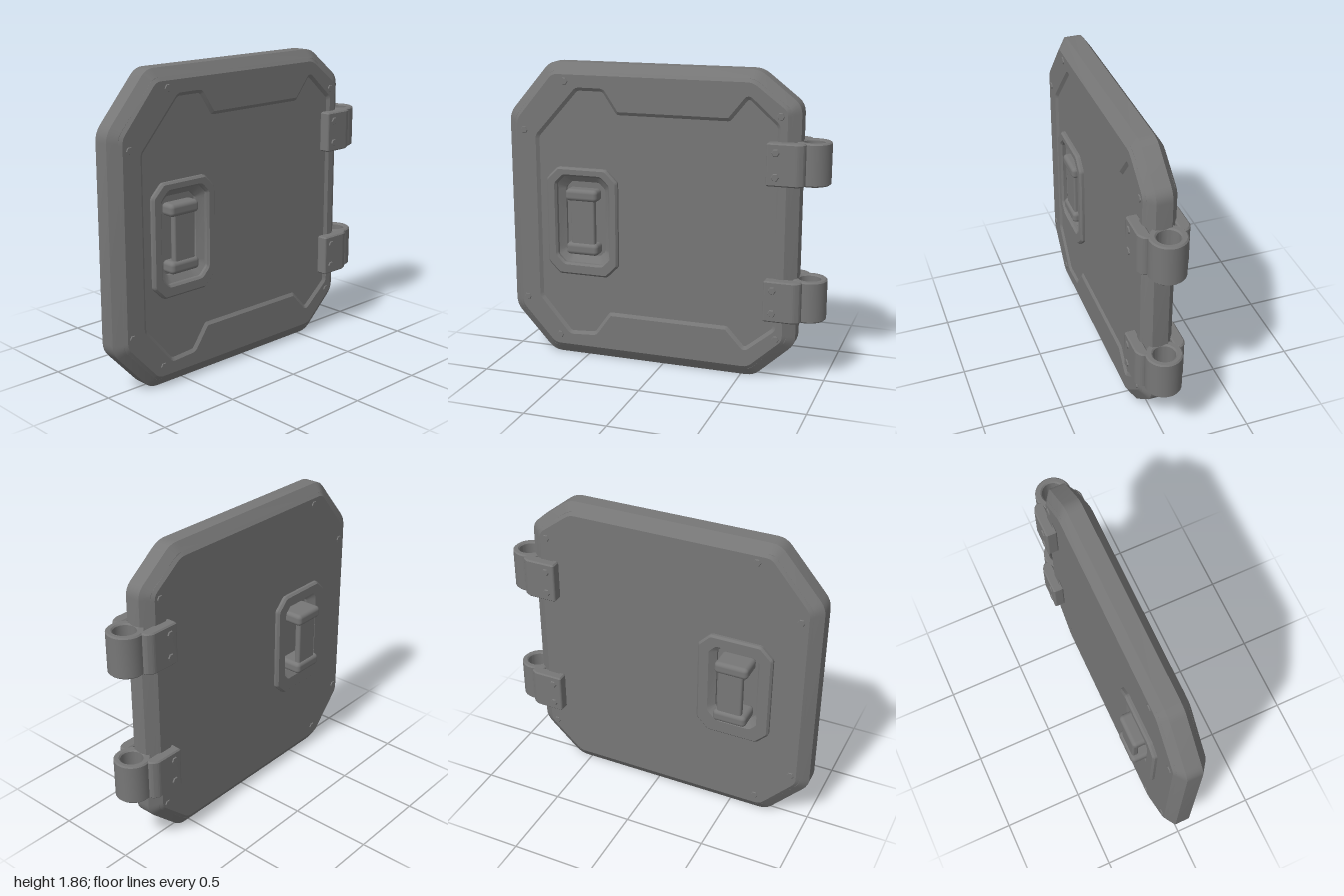
import * as THREE from 'three';
import { toCreasedNormals } from 'three/addons/utils/BufferGeometryUtils.js';
import { RoundedBoxGeometry } from 'three/addons/geometries/RoundedBoxGeometry.js';

const CX = 0.01; // middle of the door's thickness
const metal = new THREE.MeshStandardMaterial({ color: 0x777777 });
metal.name = 'dark grey metal';

// closed outline with slightly rounded corners
function outline(pts, r) {
  const shape = new THREE.Shape();
  const v = pts.map(p => new THREE.Vector2(p[0], p[1]));
  v.forEach((p, i) => {
    const a = v[(i + v.length - 1) % v.length], b = v[(i + 1) % v.length];
    const p0 = p.clone().add(a.clone().sub(p).setLength(r));
    const p1 = p.clone().add(b.clone().sub(p).setLength(r));
    if (i) shape.lineTo(p0.x, p0.y); else shape.moveTo(p0.x, p0.y);
    shape.quadraticCurveTo(p.x, p.y, p1.x, p1.y);
  });
  shape.closePath();
  return shape;
}

function add(parent, name, geo) {
  const mesh = new THREE.Mesh(geo, metal);
  mesh.name = name;
  parent.add(mesh);
  return mesh;
}

// bevelled plate in the door plane; points are (-z, y), side is +1 or -1 along x
function slab(parent, name, pts, holes, o) {
  const side = o.side || 1;
  const flip = list => list.map(p => [p[0] * side, p[1]]);
  const shape = outline(flip(pts), o.round);
  shape.holes = holes.map(h => outline(flip(h), o.holeRound || 0.015));
  const geo = new THREE.ExtrudeGeometry(shape, {
    depth: o.front - o.back - 2 * o.thick, bevelThickness: o.thick, bevelSize: o.bevel,
    bevelOffset: -o.bevel, bevelSegments: 1, curveSegments: 4
  });
  geo.translate(0, 0, o.back + o.thick);
  const mesh = add(parent, name, toCreasedNormals(geo, 0.5));
  mesh.rotation.y = side * Math.PI / 2;
  mesh.position.x = CX;
}

// door silhouette, moved inward by i
function doorOutline(i) {
  const k = i * 0.414;
  return [
    [-1 + i, 0.28 + k], [-0.74 + k, i], [0.58 + k * -1, i], [0.83 - i, 0.23 + k],
    [0.83 - i, 1.66 - k], [0.58 - k, 1.855 - i], [-0.72 + k, 1.855 - i], [-1 + i, 1.53 - k]
  ];
}

// rectangle with cut corners
function cutRect(x0, x1, y0, y1, c) {
  return [[x0 + c, y0], [x1 - c, y0], [x1, y0 + c], [x1, y1 - c],
    [x1 - c, y1], [x0 + c, y1], [x0, y1 - c], [x0, y0 + c]];
}

const panel = [
  [-0.79, 0.38], [-0.6, 0.16], [-0.44, 0.17], [-0.34, 0.31], [0.42, 0.31], [0.53, 0.19], [0.70, 0.33],
  [0.70, 1.54], [0.53, 1.69], [0.42, 1.555], [-0.28, 1.555], [-0.37, 1.69], [-0.53, 1.69], [-0.79, 1.40]
];
const screws = [[-0.61, 1.745], [-0.885, 1.435], [-0.895, 0.36], [-0.675, 0.13], [0.72, 0.265], [0.72, 1.6]];

function screw(parent, x, y, z) {
  const geo = new THREE.CylinderGeometry(0.02, 0.026, 0.012, 6);
  geo.rotateZ(-Math.sign(x - CX) * Math.PI / 2);
  add(parent, 'screw', toCreasedNormals(geo, 0.3)).position.set(x, y, z);
}

function handle(parent, side, top) {
  const g = new THREE.Group();
  g.name = side > 0 ? 'innerHandle' : 'outerHandle';
  const h = top - 0.02;
  for (const y of [0.71, 1.05]) {
    add(g, 'handleEnd', new RoundedBoxGeometry(h, 0.075, 0.21, 3, 0.025))
      .position.set(CX + side * (top - h / 2), y, 0.51);
  }
  add(g, 'handleGrip', new RoundedBoxGeometry(0.04, 0.36, 0.155, 2, 0.012))
    .position.set(CX + side * (top - 0.035), 0.88, 0.505);
  parent.add(g);
}

// upright extrusion of a plan outline (x, -z)
function upright(parent, name, shape, height) {
  const geo = new THREE.ExtrudeGeometry(shape, {
    depth: height - 0.016, bevelThickness: 0.008, bevelSize: 0.008, bevelOffset: -0.008,
    bevelSegments: 1, curveSegments: 20
  });
  geo.rotateX(-Math.PI / 2);
  geo.translate(0, 0.008 - height / 2, 0);
  add(parent, name, toCreasedNormals(geo, 0.6));
}

function hinge(parent, y, height) {
  const g = new THREE.Group();
  g.name = 'hinge';
  g.position.set(CX, y, 0);
  // knuckle ring
  const ring = new THREE.Shape().absarc(0, 0.893, 0.107, 0, Math.PI * 2);
  ring.holes.push(new THREE.Path().absarc(0, 0.897, 0.066, 0, Math.PI * 2));
  upright(g, 'hingeKnuckle', ring, height);
  // straps gripping both faces of the door
  for (const s of [1, -1]) {
    const strap = [[0.08, 0.65], [0.15, 0.65], [0.15, 0.83], [0.13, 0.865], [0.1, 0.875], [0.08, 0.86]];
    upright(g, 'hingeStrap', outline(strap.map(p => [p[0] * s, p[1]]), 0.012), height);
    for (const dy of [-0.07, 0.07]) {
      const geo = new THREE.CylinderGeometry(0.02, 0.026, 0.01, 6);
      geo.rotateZ(-s * Math.PI / 2);
      add(g, 'hingeScrew', toCreasedNormals(geo, 0.3)).position.set(s * 0.152, dy, -0.705);
    }
  }
  parent.add(g);
}

export function createModel() {
  const model = new THREE.Group();
  model.name = 'hatchDoor';

  // core with sloped recess for the handles
  slab(model, 'doorCore', doorOutline(0), [cutRect(-0.635, -0.375, 0.655, 1.125, 0.04)],
    { back: -0.083, front: 0.083, thick: 0.036, bevel: 0.05, round: 0.05 });
  slab(model, 'recessFloor', cutRect(-0.66, -0.35, 0.63, 1.15, 0.03), [],
    { back: -0.03, front: 0.03, thick: 0.002, bevel: 0.002, round: 0.01 });

  for (const side of [1, -1]) {
    // raised border around the panel
    slab(model, 'doorBorder', doorOutline(0.05), [panel],
      { side, back: 0.067, front: 0.097, thick: 0.014, bevel: 0.02, round: 0.04 });
    // raised frame around the handle recess
    slab(model, 'handleFrame', cutRect(-0.74, -0.275, 0.54, 1.22, 0.075),
      [cutRect(-0.675, -0.335, 0.615, 1.165, 0.05)],
      { side, back: 0.065, front: 0.111, thick: 0.012, bevel: 0.012, round: 0.015 });
    for (const [u, y] of screws) screw(model, CX + side * 0.097, y, -u);
  }

  handle(model, 1, 0.118);
  handle(model, -1, 0.175);

  hinge(model, 1.33, 0.25);
  hinge(model, 0.515, 0.25);
  return model;
}
